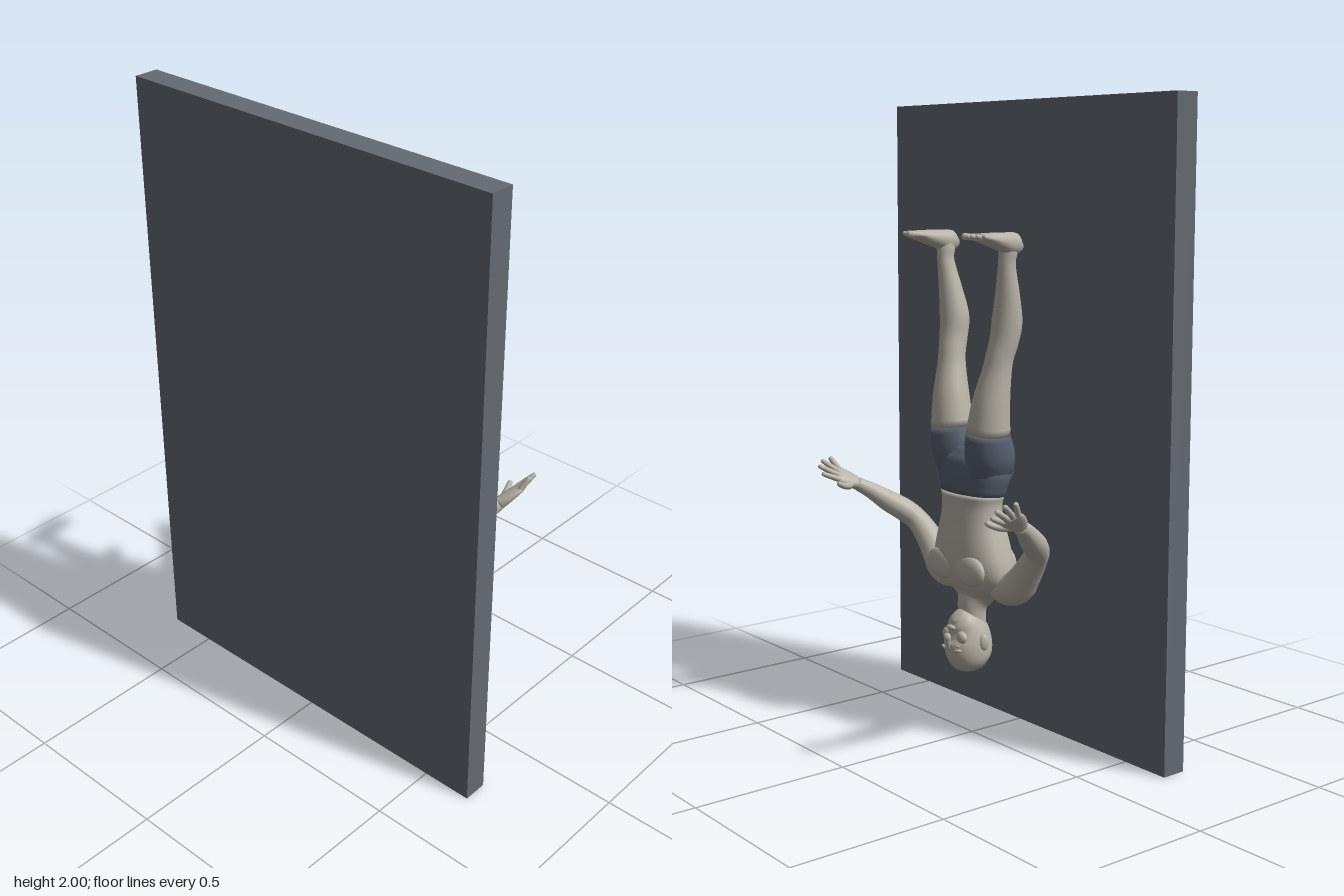
import * as THREE from 'three';

const mat = (name, color) => {
  const m = new THREE.MeshStandardMaterial({ color });
  m.name = name;
  return m;
};

// Smooth closed body through rings [x, y, z, halfWidth, halfDepth]; from/to pick a span of rings.
// s = -1 mirrors it in x, ref is the direction of the width, pow > 2 makes the section boxier.
function loft(rings, { s = 1, ref = [1, 0, 0], pow = 2, from = 0, to = rings.length - 1, n = 20, sub = 4 } = {}) {
  const path = new THREE.CatmullRomCurve3(rings.map(r => new THREE.Vector3(r[0] * s, r[1], r[2])), false, 'catmullrom');
  const size = new THREE.CatmullRomCurve3(rings.map(r => new THREE.Vector3(r[3], r[4] ?? r[3], 0)), false, 'catmullrom');
  const R = new THREE.Vector3(ref[0] * s, ref[1], ref[2]);
  const pos = [], idx = [], rows = (to - from) * sub;
  const bend = c => Math.sign(c) * Math.abs(c) ** (2 / pow);
  for (let i = 0; i <= rows; i++) {
    const t = (from + i / sub) / (rings.length - 1);
    const p = path.getPoint(t), w = size.getPoint(t), T = path.getTangent(t);
    const U = R.clone().addScaledVector(T, -T.dot(R)).normalize();
    const V = T.clone().cross(U);
    for (let j = 0; j < n; j++) {
      const a = j / n * Math.PI * 2;
      const q = p.clone().addScaledVector(U, bend(Math.cos(a)) * w.x).addScaledVector(V, bend(Math.sin(a)) * w.y);
      pos.push(q.x, q.y, q.z);
      if (i < rows) {
        const k = i * n + (j + 1) % n, m = i * n + j;
        idx.push(m, k, m + n, k, k + n, m + n);
      }
    }
  }
  // end caps
  for (const t of [from, to]) {
    const c = path.getPoint(t / (rings.length - 1)), id = pos.length / 3, row = t === from ? 0 : rows * n;
    pos.push(c.x, c.y, c.z);
    for (let j = 0; j < n; j++) {
      const a = row + j, b = row + (j + 1) % n;
      idx.push(id, ...(t === from ? [b, a] : [a, b]));
    }
  }
  const g = new THREE.BufferGeometry();
  g.setAttribute('position', new THREE.Float32BufferAttribute(pos, 3));
  g.setIndex(idx);
  g.computeVertexNormals();
  return g;
}

export function createModel() {
  const skin = mat('skin', 0xb8b3a7), cloth = mat('shorts cloth', 0x596170), board = mat('panel grey', 0x646a72);
  const model = new THREE.Group();
  const figure = new THREE.Group();
  figure.name = 'invertedFigure';
  model.add(figure);

  const add = (name, geo, m = skin, parent = figure) => {
    const mesh = new THREE.Mesh(geo, m);
    mesh.name = name;
    parent.add(mesh);
    return mesh;
  };
  const blob = (name, x, y, z, rx, ry, rz, m = skin) => {
    const b = add(name, new THREE.SphereGeometry(1, 20, 14), m);
    b.position.set(x, y, z);
    b.scale.set(rx, ry, rz);
    return b;
  };

  // Upright panel
  add('panel', new THREE.BoxGeometry(1.33, 2, 0.08), board, model).position.set(0, 1, 0.24);

  // Torso, from the neck up to the hips
  const torso = [
    [0, .35, 0, .043, .043], [0, .415, 0, .046, .043], [0, .45, .012, .072, .05], [0, .48, .016, .125, .062],
    [0, .52, .012, .158, .079], [0, .57, .006, .158, .089], [0, .63, .003, .142, .087], [0, .7, 0, .12, .077],
    [0, .75, 0, .114, .073], [0, .785, .001, .121, .075],
    [0, .85, .008, .14, .083], [0, .9, .01, .125, .078], [0, .935, .008, .06, .05],
  ];
  add('torso', loft(torso, { to: 9, pow: 2.3, n: 32 }));
  add('shortsHips', loft(torso, { from: 9, pow: 2.3, n: 32 }), cloth);

  // Head
  add('head', loft([
    [0, .211, 0, .012, .012], [0, .22, -.001, .04, .043], [0, .25, -.008, .064, .07], [0, .29, -.015, .07, .08],
    [0, .33, -.02, .066, .075], [0, .36, -.032, .057, .06], [0, .385, -.05, .042, .042], [0, .398, -.062, .018, .02],
  ], { n: 28 }));
  add('nose', loft([
    [0, .29, -.09, .007, .006], [0, .315, -.096, .009, .009], [0, .334, -.1, .014, .011], [0, .342, -.094, .008, .006],
  ], { n: 12 }));
  blob('lips', 0, .362, -.086, .021, .008, .009);

  const leg = [
    [.075, .86, .012, .062, .077], [.08, .9, .008, .074, .08], [.085, .94, -.002, .075, .077], [.09, .985, -.008, .07, .068],
    [.1, 1.08, -.005, .06, .058], [.112, 1.17, .006, .047, .046], [.118, 1.22, .013, .044, .043],
    [.125, 1.27, .025, .045, .045], [.13, 1.33, .032, .047, .047], [.14, 1.41, .025, .038, .038],
    [.15, 1.5, .014, .026, .028], [.153, 1.54, .016, .027, .03], [.156, 1.578, .02, .025, .031],
  ];
  const foot = [
    [.158, 1.572, .058, .012, .012], [.157, 1.567, .048, .026, .03], [.157, 1.565, .02, .03, .035],
    [.16, 1.572, -.02, .032, .028], [.163, 1.579, -.06, .038, .021], [.164, 1.584, -.09, .041, .015],
    [.165, 1.586, -.108, .036, .01],
  ];
  const arm = [
    [.11, .505, .018, .04, .045], [.15, .497, .026, .054, .05], [.19, .515, .03, .056, .054], [.225, .552, .028, .048],
    [.265, .6, .022, .042], [.305, .645, .008, .037], [.332, .677, -.024, .038], [.36, .707, -.066, .035],
    [.39, .742, -.112, .027], [.415, .77, -.157, .021],
  ];
  const palm = [
    [.411, .765, -.149, .022, .02], [.422, .78, -.172, .033, .018], [.435, .797, -.2, .039, .014], [.44, .803, -.214, .035, .009],
  ];
  const across = [.81, .55, .2];
  // finger: offset across the knuckles, then the tip
  const fingers = [[-.027, .435, .812, -.276], [-.009, .455, .835, -.276], [.009, .468, .85, -.256], [.026, .474, .855, -.22]];

  for (const s of [1, -1]) {
    const side = s > 0 ? 'left' : 'right';

    // Face and chest details
    blob(side + 'Eye', s * .027, .306, -.081, .012, .007, .008);
    blob(side + 'Brow', s * .028, .291, -.083, .02, .006, .01).rotation.z = s * .15;
    blob(side + 'Cheek', s * .035, .333, -.07, .022, .02, .014);
    blob(side + 'Ear', s * .07, .314, -.008, .009, .026, .016).rotation.y = s * .35;
    blob(side + 'Pectoral', s * .068, .555, -.066, .072, .05, .024);
    blob(side + 'ShoulderBlade', s * .08, .55, .066, .055, .07, .026);
    blob(side + 'Buttock', s * .062, .868, .045, .064, .068, .052, cloth);

    // Leg, cut at the hem of the shorts
    add(side + 'ShortsLeg', loft(leg, { s, to: 3, n: 24 }), cloth);
    add(side + 'Leg', loft(leg, { s, from: 3, n: 24 }));
    add(side + 'Foot', loft(foot, { s }));
    for (let i = 0; i < 5; i++) {
      const x = .138 + i * .0145, r = i ? .0075 : .011, tip = -.146 + i * i * .0018;
      add(side + 'Toe', loft([
        [x, 1.586, -.085, r], [x, 1.588, (tip - .1) / 2, r * .9], [x, 1.59, tip + .006, r], [x, 1.591, tip, r * .4],
      ], { s, n: 10 }));
    }

    // Arm and open hand
    add(side + 'Arm', loft(arm, { s, ref: [0, 0, 1] }));
    add(side + 'Palm', loft(palm, { s, ref: across, n: 16 }));
    for (const [o, x, y, z] of fingers) {
      const b = [.435 + across[0] * o, .797 + across[1] * o, -.2 + across[2] * o];
      const at = (k, r) => [b[0] + (x - b[0]) * k, b[1] + (y - b[1]) * k, b[2] + (z - b[2]) * k, r];
      add(side + 'Finger', loft([at(0, .01), at(.45, .0095), at(.92, .0075), at(1, .003)], { s, ref: across, n: 10 }));
    }
    add(side + 'Thumb', loft([
      [.415, .772, -.17, .015], [.397, .768, -.202, .0125], [.386, .775, -.23, .01], [.38, .784, -.248, .008], [.379, .786, -.253, .003],
    ], { s, ref: across, n: 10 }));
  }
  return model;
}
